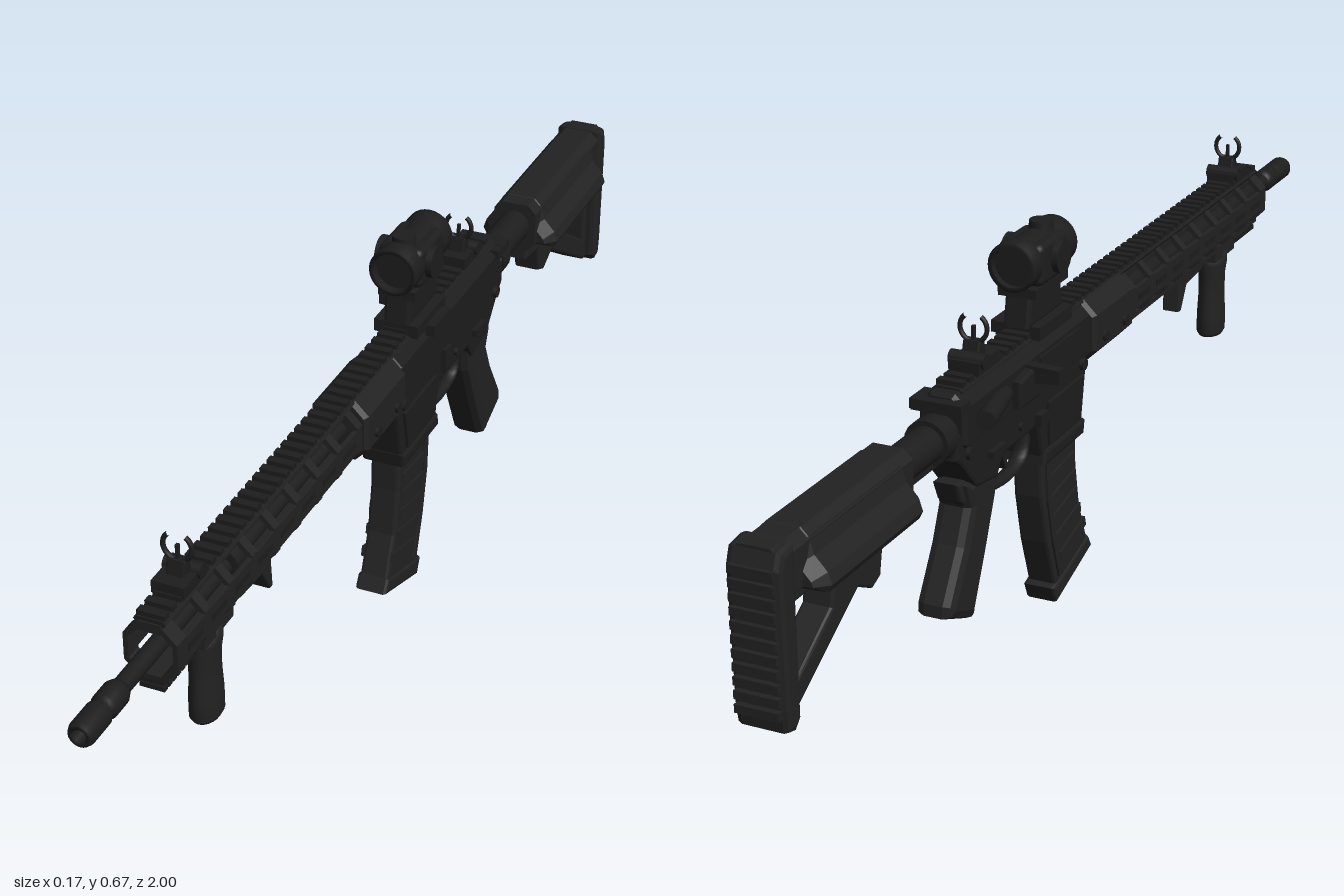
import * as THREE from 'three';
import { RoundedBoxGeometry } from 'three/addons/geometries/RoundedBoxGeometry.js';

export function createModel() {
  const root = new THREE.Group();
  const body = new THREE.Group();
  body.name = 'rifle';
  body.position.x = 0.013;
  root.add(body);

  const polymer = new THREE.MeshStandardMaterial({ color: 0x222222 });
  polymer.name = 'dark polymer';
  const metal = new THREE.MeshStandardMaterial({ color: 0x1d1d1d });
  metal.name = 'black metal';

  const add = (name, geo, mat, x = 0, y = 0, z = 0) => {
    const m = new THREE.Mesh(geo, mat);
    m.name = name;
    m.position.set(x, y, z);
    body.add(m);
    return m;
  };
  const toShape = (pts, hole) => {
    const s = new THREE.Shape(pts.map(p => new THREE.Vector2(...p)));
    if (hole) s.holes.push(new THREE.Path(hole.map(p => new THREE.Vector2(...p))));
    return s;
  };
  // Side profile of (z, y) points given thickness along x
  const slab = (name, pts, width, mat, x = 0, bevel = 0.006, hole) => {
    const geo = new THREE.ExtrudeGeometry(toShape(pts, hole), {
      depth: width - 2 * bevel, bevelEnabled: bevel > 0, bevelSize: bevel,
      bevelOffset: -bevel, bevelThickness: bevel, bevelSegments: 2
    });
    geo.translate(0, 0, bevel - width / 2);
    geo.rotateY(-Math.PI / 2);
    return add(name, geo, mat, x);
  };
  // Cross-section of (x, y) points run along z
  const run = (name, pts, z0, z1, mat, hole, bevel = 0) => {
    const geo = new THREE.ExtrudeGeometry(toShape(pts, hole), {
      depth: z1 - z0 - 2 * bevel, bevelEnabled: bevel > 0, bevelSize: bevel * 0.7,
      bevelOffset: -bevel * 0.7, bevelThickness: bevel, bevelSegments: 1
    });
    return add(name, geo, mat, 0, 0, z0 + bevel);
  };
  const box = (name, w, h, d, x, y, z, mat = metal) =>
    add(name, new THREE.BoxGeometry(w, h, d), mat, x, y, z);
  // Cylinders along z or x
  const tubeZ = (name, r, z0, z1, y, mat = metal, x = 0, seg = 20) =>
    add(name, new THREE.CylinderGeometry(r, r, z1 - z0, seg).rotateX(Math.PI / 2), mat, x, y, (z0 + z1) / 2);
  const knobX = (name, r, w, x, y, z, mat = metal) =>
    add(name, new THREE.CylinderGeometry(r, r, w, 18).rotateZ(Math.PI / 2), mat, x, y, z);
  const lathe = (pts, seg) => new THREE.LatheGeometry(pts.map(p => new THREE.Vector2(...p)), seg);
  const octagon = (w, h, c, cy) => [[-w, cy - h + c], [-w + c, cy - h], [w - c, cy - h], [w, cy - h + c],
    [w, cy + h - c], [w - c, cy + h], [-w + c, cy + h], [-w, cy + h - c]];

  // Barrel and open-ended muzzle device
  tubeZ('barrel', 0.014, 0, 0.9, 0.445);
  const muzzle = [[0.012, -0.055], [0.017, -0.055], [0.021, -0.045], [0.021, -0.012], [0.018, -0.008],
    [0.018, 0], [0.021, 0.004], [0.021, 0.05], [0.018, 0.058], [0.011, 0.058], [0.011, -0.02], [0, -0.02]];
  add('muzzleDevice', lathe(muzzle, 20).rotateX(Math.PI / 2), metal, 0, 0.445, 0.942);
  tubeZ('gasBlock', 0.024, 0.52, 0.57, 0.45);
  tubeZ('gasTube', 0.006, 0.1, 0.55, 0.474);

  // Handguard cage: rings, side rails, top and bottom spines
  const outer = octagon(0.043, 0.047, 0.024, 0.444);
  const inner = octagon(0.035, 0.039, 0.02, 0.444);
  for (let i = 0; i < 9; i++) run('handguardRing', outer, 0.165 + i * 0.0755, 0.182 + i * 0.0755, polymer, inner);
  run('handguardFrontCollar', outer, 0.772, 0.797, polymer, inner);
  for (const s of [-1, 1]) {
    box('handguardSideRail', 0.008, 0.036, 0.63, s * 0.039, 0.446, 0.48, polymer);
    for (let i = 0; i < 8; i++) box('sideSlot', 0.004, 0.012, 0.045, s * 0.0425, 0.446, 0.215 + i * 0.0755);
    box('lowerEdge', 0.008, 0.008, 0.63, s * 0.022, 0.401, 0.48, polymer);
  }
  box('handguardBottom', 0.03, 0.008, 0.63, 0, 0.401, 0.48, polymer);
  box('handguardTop', 0.036, 0.016, 0.635, 0, 0.487, 0.48, polymer);
  box('lowerAccessoryRail', 0.036, 0.01, 0.37, 0, 0.393, 0.61);
  for (let i = 0; i < 9; i++) box('lowerRailTooth', 0.04, 0.008, 0.01, 0, 0.385, 0.685 + i * 0.0135);
  run('handguardClamp', octagon(0.049, 0.055, 0.024, 0.444), 0, 0.16, polymer, null, 0.008);
  for (const s of [-1, 1]) for (const z of [0.04, 0.12]) knobX('clampScrew', 0.009, 0.008, s * 0.05, 0.43, z);

  // Full-length toothed top rail
  run('topRail', [[-0.019, 0.488], [0.019, 0.488], [0.026, 0.496], [0.02, 0.501], [-0.02, 0.501], [-0.026, 0.496]],
    -0.43, 0.795, metal);
  for (let i = 0; i < 50; i++) box('railTooth', 0.044, 0.009, 0.014, 0, 0.504, 0.785 - i * 0.0245);

  // Upper and lower receiver
  run('upperReceiver', octagon(0.04, 0.05, 0.02, 0.448), -0.45, 0.005, metal, null, 0.008);
  slab('lowerReceiver', [[0, 0.42], [0, 0.385], [-0.02, 0.28], [-0.165, 0.28], [-0.18, 0.35], [-0.31, 0.35],
    [-0.33, 0.32], [-0.40, 0.33], [-0.45, 0.385], [-0.47, 0.40], [-0.47, 0.45], [-0.42, 0.42]], 0.068, metal);
  slab('magazineWellLip', [[-0.014, 0.30], [-0.018, 0.275], [-0.17, 0.275], [-0.165, 0.30]], 0.078, metal);
  for (const s of [-1, 1]) {
    slab('magazineWellPanel', [[-0.02, 0.38], [-0.035, 0.305], [-0.15, 0.305], [-0.155, 0.38]], 0.006, metal, s * 0.036, 0.001);
    knobX('pivotPin', 0.01, 0.008, s * 0.037, 0.398, -0.02);
    knobX('takedownPin', 0.01, 0.008, s * 0.037, 0.40, -0.43);
    knobX('triggerPin', 0.007, 0.006, s * 0.036, 0.375, -0.25);
    box('safetyLever', 0.01, 0.012, 0.045, s * 0.04, 0.372, -0.345);
  }
  box('boltCatch', 0.01, 0.045, 0.025, 0.041, 0.395, -0.19);
  box('magazineRelease', 0.012, 0.02, 0.028, -0.04, 0.365, -0.185);

  // Right-side controls
  box('ejectionCover', 0.006, 0.04, 0.15, -0.041, 0.452, -0.12);
  slab('caseDeflector', [[-0.22, 0.42], [-0.22, 0.475], [-0.29, 0.465], [-0.29, 0.42]], 0.02, metal, -0.045, 0.005);
  const assist = tubeZ('forwardAssist', 0.016, -0.42, -0.31, 0.452, metal, -0.046);
  assist.rotation.y = 0.22;
  run('boltHandle', [[-0.098, 0.452], [-0.03, 0.445], [-0.03, 0.477], [-0.098, 0.475]], -0.243, -0.225, metal);
  box('chargingHandle', 0.085, 0.018, 0.03, 0, 0.481, -0.452);
  box('chargingLatch', 0.016, 0.016, 0.05, 0.038, 0.481, -0.44);

  // Trigger and guard
  const guardPath = new THREE.CatmullRomCurve3([[0.345, -0.17], [0.295, -0.185], [0.281, -0.22], [0.281, -0.27],
    [0.292, -0.31], [0.335, -0.325]].map(([y, z]) => new THREE.Vector3(0, y, z)));
  add('triggerGuard', new THREE.TubeGeometry(guardPath, 24, 0.007, 8), metal).scale.x = 2;
  slab('trigger', [[-0.235, 0.36], [-0.248, 0.325], [-0.242, 0.298], [-0.25, 0.297], [-0.262, 0.325], [-0.262, 0.36]],
    0.016, metal, 0, 0.002);

  // Curved magazine with ribs and base
  slab('magazine', [[-0.025, 0.30], [-0.022, 0.22], [-0.008, 0.14], [0.03, 0.045], [-0.098, 0.012], [-0.135, 0.12],
    [-0.155, 0.21], [-0.16, 0.30]], 0.052, polymer);
  slab('magazineBase', [[0.022, 0.07], [0.036, 0.046], [-0.105, 0], [-0.118, 0.03]], 0.058, polymer);
  for (const s of [-1, 1]) {
    for (let i = 0; i < 5; i++) {
      const rib = box('magazineRib', 0.006, 0.018, 0.1, s * 0.0265, 0.235 - i * 0.036, -0.087 + i * i * 0.0028, polymer);
      rib.rotation.x = -0.1 - i * 0.04;
    }
    slab('magazineSpine', [[-0.13, 0.27], [-0.126, 0.2], [-0.108, 0.12], [-0.082, 0.05], [-0.097, 0.045],
      [-0.122, 0.12], [-0.14, 0.2], [-0.145, 0.27]], 0.008, polymer, s * 0.026, 0.001);
  }

  // Pistol grip
  slab('pistolGrip', [[-0.315, 0.345], [-0.325, 0.29], [-0.36, 0.21], [-0.405, 0.115], [-0.415, 0.112], [-0.492, 0.145],
    [-0.49, 0.165], [-0.44, 0.245], [-0.415, 0.30], [-0.43, 0.345]], 0.064, polymer, 0, 0.016);
  slab('gripBeavertail', [[-0.40, 0.345], [-0.41, 0.30], [-0.43, 0.315], [-0.445, 0.35]], 0.044, polymer);

  // Stock tube and stock
  tubeZ('stockTube', 0.029, -0.9, -0.44, 0.436);
  tubeZ('castleNut', 0.037, -0.5, -0.468, 0.436);
  box('stockTubeKeel', 0.02, 0.016, 0.16, 0, 0.404, -0.55);
  const half = [[0.03, 0.388], [0.066, 0.39], [0.072, 0.402], [0.066, 0.42], [0.046, 0.442], [0.038, 0.468], [0.026, 0.48]];
  run('stockCheekpiece', [...half, ...half.map(([x, y]) => [-x, y]).reverse()], -0.93, -0.625, polymer, null, 0.022);
  run('stockTop', octagon(0.04, 0.045, 0.015, 0.434), -0.985, -0.615, polymer);
  slab('stockFrame', [[-0.617, 0.41], [-0.617, 0.368], [-0.68, 0.36], [-0.69, 0.31], [-0.715, 0.30], [-0.755, 0.32],
    [-0.945, 0.207], [-0.975, 0.205], [-0.975, 0.47], [-0.93, 0.47], [-0.9, 0.41]], 0.05, polymer, 0, 0.005,
    [[-0.82, 0.375], [-0.935, 0.375], [-0.935, 0.255], [-0.83, 0.322]]);
  slab('adjustmentLever', [[-0.64, 0.385], [-0.64, 0.368], [-0.72, 0.335], [-0.78, 0.35], [-0.78, 0.385]], 0.03, polymer);
  slab('buttPad', [[-0.95, 0.215], [-0.965, 0.2], [-0.985, 0.205], [-0.99, 0.24], [-0.994, 0.45], [-0.985, 0.475],
    [-0.95, 0.48]], 0.086, polymer, 0, 0.01);
  for (let i = 0; i < 11; i++) box('buttPadRib', 0.07, 0.013, 0.016, 0, 0.236 + i * 0.021, -0.992, polymer);

  // Foregrip and hand stop
  const grip = [[0, 0], [0.03, 0], [0.036, 0.008], [0.036, 0.04], [0.033, 0.08], [0.034, 0.12], [0.038, 0.14], [0.038, 0.165], [0, 0.165]];
  add('foregrip', lathe(grip, 24), polymer, 0, 0.222, 0.638).scale.x = 0.68;
  box('foregripMount', 0.05, 0.022, 0.095, 0, 0.388, 0.638, polymer);
  slab('handStop', [[0.55, 0.395], [0.55, 0.378], [0.475, 0.372], [0.45, 0.33], [0.44, 0.33], [0.445, 0.395]], 0.034, polymer, 0, 0.004);

  // Flip-up sights with open rings
  for (const [name, z] of [['frontSight', 0.705], ['rearSight', -0.34]]) {
    box(name + 'Base', 0.052, 0.02, 0.07, 0, 0.513, z);
    slab(name + 'Leaf', [[z + 0.014, 0.515], [z + 0.008, 0.547], [z - 0.008, 0.547], [z - 0.016, 0.515]], 0.03, metal, 0, 0.003);
    knobX(name + 'Hinge', 0.012, 0.06, 0, 0.521, z - 0.018);
    const ring = new THREE.TorusGeometry(0.023, 0.004, 8, 24, Math.PI * 1.6).rotateZ(Math.PI * 0.7);
    add(name + 'Ring', ring, metal, 0, 0.566, z);
    box(name + 'Post', 0.005, 0.027, 0.006, 0, 0.556, z);
  }

  // Optic on a riser mount
  box('opticClamp', 0.078, 0.022, 0.12, 0, 0.507, -0.128);
  slab('opticRiser', [[-0.068, 0.515], [-0.075, 0.575], [-0.185, 0.575], [-0.195, 0.515]], 0.046, metal);
  box('riserBand', 0.066, 0.016, 0.12, 0, 0.572, -0.13);
  box('clampLever', 0.016, 0.02, 0.07, 0.05, 0.5, -0.13);
  const tube = [[0.034, -0.078], [0.041, -0.078], [0.041, -0.05], [0.037, -0.045], [0.037, 0.035], [0.041, 0.04],
    [0.041, 0.078], [0.034, 0.078], [0.034, -0.078]];
  add('opticTube', lathe(tube, 28).rotateX(Math.PI / 2), metal, 0, 0.619, -0.13);
  tubeZ('opticLens', 0.035, -0.196, -0.066, 0.619, metal, 0, 28);
  add('opticHousing', new RoundedBoxGeometry(0.078, 0.07, 0.1, 2, 0.012), metal, 0, 0.615, -0.13);
  for (const s of [-1, 1]) knobX('opticKnob', 0.027, 0.018, s * 0.041, 0.617, -0.12);
  add('opticTopTurret', new THREE.CylinderGeometry(0.019, 0.021, 0.02, 18), metal, 0, 0.656, -0.1);

  return root;
}
